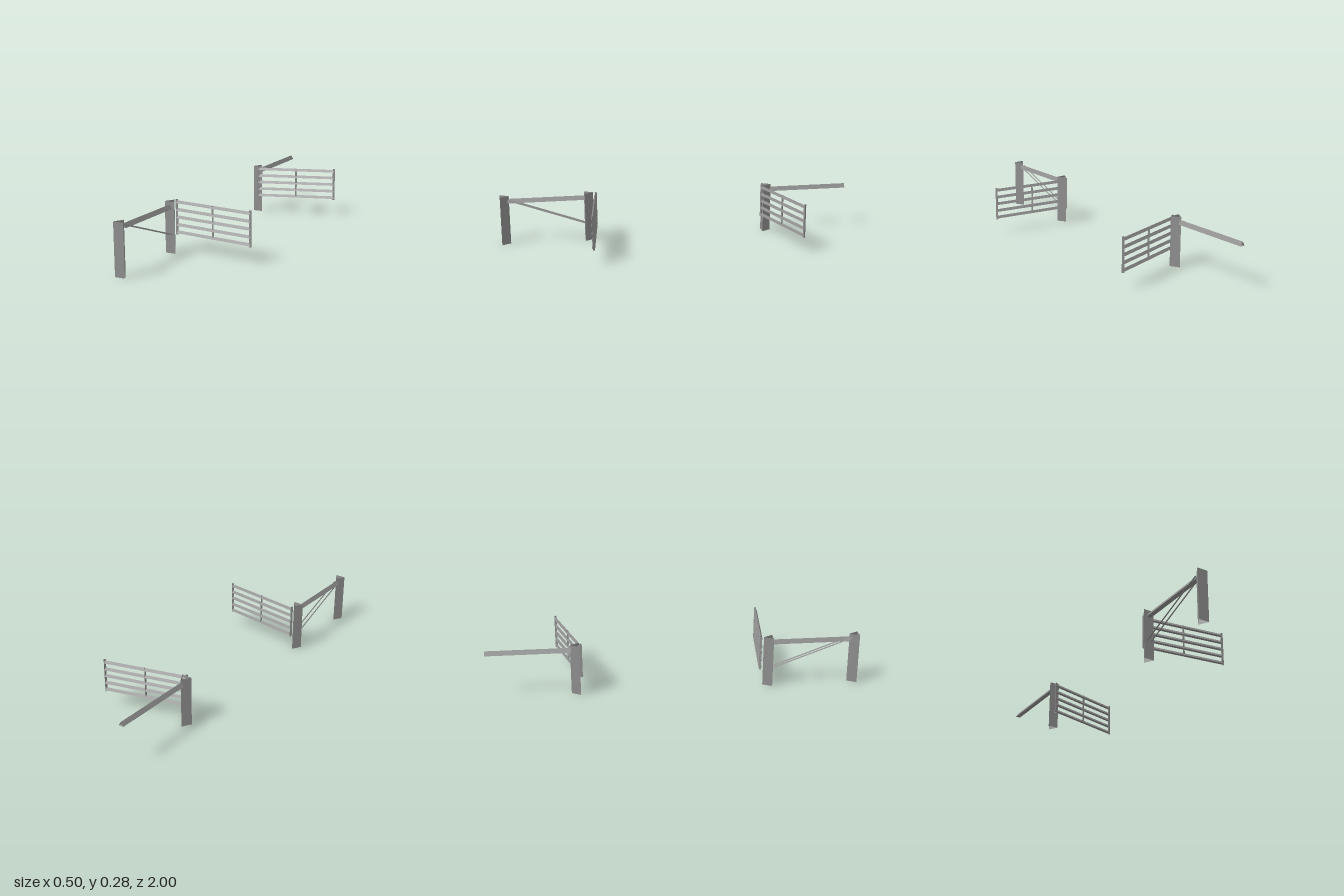
import * as THREE from 'three';

const steel = new THREE.MeshStandardMaterial({ color: 0x8e8e8e, flatShading: true, side: THREE.DoubleSide });
steel.name = 'grey steel';

const V = (x, y, z) => new THREE.Vector3(x, y, z);

// Upright three-sided tube, open at both ends, with a flat side facing +z
function upright(name, r, y0, y1, x, z) {
  const geo = new THREE.CylinderGeometry(r, r, y1 - y0, 3, 1, true).rotateY(Math.PI);
  const mesh = new THREE.Mesh(geo, steel);
  mesh.name = name;
  mesh.position.set(x, (y0 + y1) / 2, z);
  return mesh;
}

// Three-sided tube from a to b, with its ridge on top
function bar(name, r, a, b) {
  const geo = new THREE.CylinderGeometry(r, r, a.distanceTo(b), 3, 1, true).rotateX(-Math.PI / 2);
  const mesh = new THREE.Mesh(geo, steel);
  mesh.name = name;
  mesh.position.copy(a).add(b).multiplyScalar(0.5);
  mesh.lookAt(b);
  return mesh;
}

// Five-rail gate from the hinge (x0, z0) to the free end (x1, z1)
function gate(name, x0, z0, x1, z1) {
  const g = new THREE.Group();
  g.name = name;
  const len = Math.hypot(x1 - x0, z1 - z0);
  g.add(upright('gateHingeStile', 0.0075, 0.088, 0.277, 0, 0));
  g.add(upright('gateEndStile', 0.0075, 0.088, 0.277, len, 0));
  g.add(upright('gateMiddleStile', 0.006, 0.094, 0.271, len / 2, 0));
  for (const y of [0.262, 0.221, 0.181, 0.14, 0.1]) {
    g.add(bar('gateRail', 0.0097, V(0, y, 0), V(len, y, 0)));
  }
  g.position.set(x0, 0, z0);
  g.rotation.y = Math.atan2(z0 - z1, x1 - x0);
  return g;
}

export function createModel() {
  const model = new THREE.Group();
  model.name = 'fieldGates';
  const px = -0.221;

  // Posts
  for (const [name, z] of [['strainerPost', 0.984], ['frontGatePost', 0.514], ['backGatePost', -0.521]]) {
    model.add(upright(name, 0.033, 0, 0.277, px, z));
  }

  // Top beams
  model.add(bar('frontBeam', 0.0155, V(px, 0.246, 0.503), V(px, 0.246, 0.958)));
  model.add(bar('backBeam', 0.0155, V(px, 0.246, -1), V(px, 0.246, -0.548)));

  // Pair of slanting braces
  for (const s of [-1, 1]) {
    model.add(bar('brace', 0.004, V(px + s * 0.012, 0.256, 0.96), V(px + s * 0.012, 0.096, 0.515)));
  }

  // Gates standing at different angles
  model.add(gate('frontGate', -0.214, 0.468, 0.241, 0.523));
  model.add(gate('backGate', -0.212, -0.497, 0.225, -0.628));
  return model;
}
